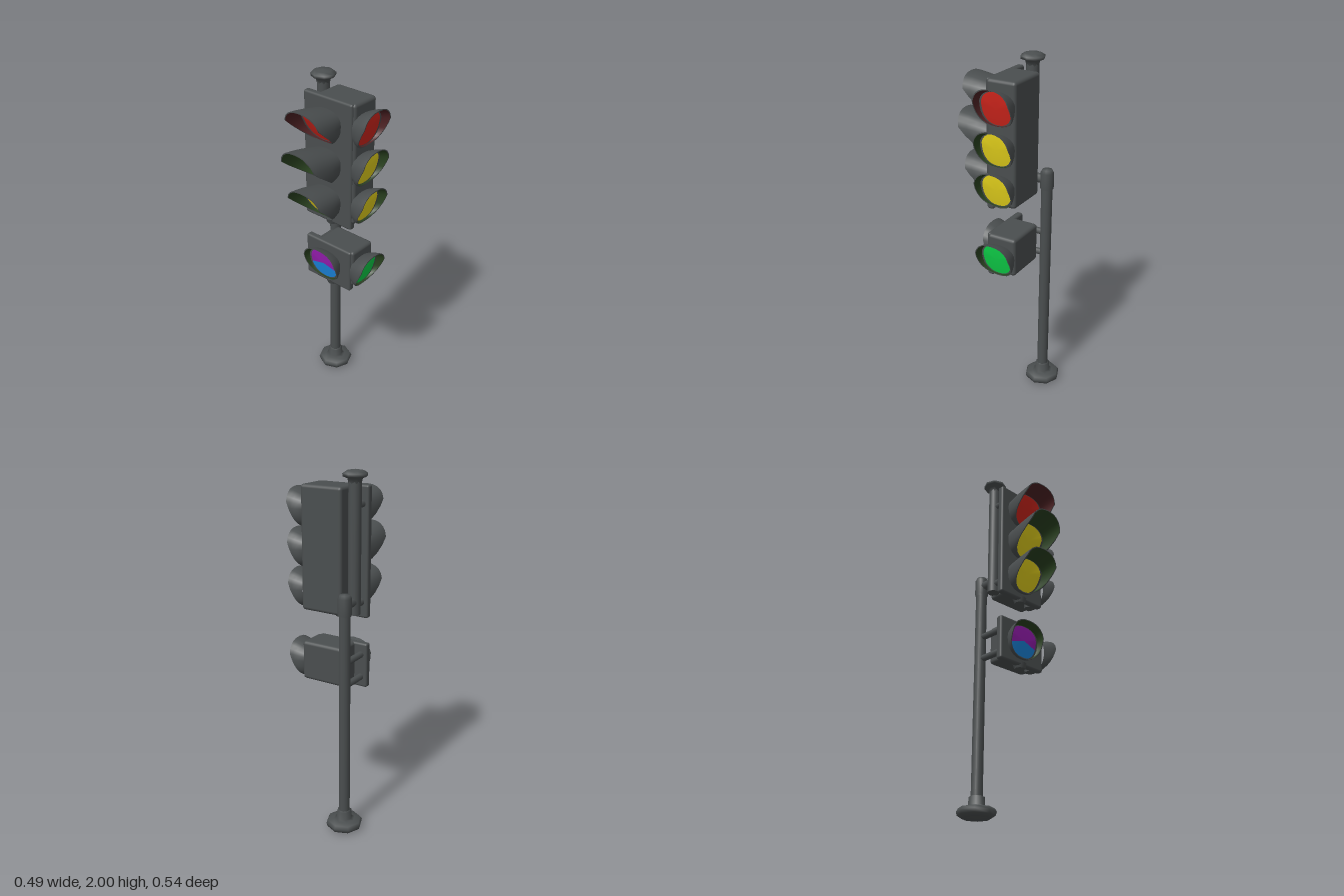
import * as THREE from 'three';
import { mergeVertices } from 'three/addons/utils/BufferGeometryUtils.js';
import { RoundedBoxGeometry } from 'three/addons/geometries/RoundedBoxGeometry.js';

const mat = (name, color, extra = {}) => new THREE.MeshStandardMaterial({ name, color, ...extra });

export function createModel() {
  const model = new THREE.Group();
  model.name = 'trafficLight';
  const grey = mat('dark grey', 0x4a4e4f);
  const red = mat('red lens', 0xd0251c);
  const yellow = mat('yellow lens', 0xe6d31c);
  const green = mat('green lens', 0x0ed048);
  const purple = mat('purple lens', 0x921cab);
  const blue = mat('blue lens', 0x1b86de);
  const greenLining = mat('dark green lining', 0x2a4220);
  const redLining = mat('dark red lining', 0x4e2224);

  const add = (name, geo, material, x = 0, y = 0, z = 0, parent = model) => {
    const m = new THREE.Mesh(geo, material);
    m.name = name;
    m.position.set(x, y, z);
    parent.add(m);
    return m;
  };
  const lathe = (pts, sides) => new THREE.LatheGeometry(pts.map(p => new THREE.Vector2(...p)), sides);
  // Rounded box given by its limits on each axis
  const box = (name, [x0, x1], [y0, y1], [z0, z1], r = 0.012) =>
    add(name, new RoundedBoxGeometry(x1 - x0, y1 - y0, z1 - z0, 2, r), grey,
      (x0 + x1) / 2, (y0 + y1) / 2, (z0 + z1) / 2);
  // Straight round bar between two points
  const bar = (name, a, b, r) => {
    const p = new THREE.Vector3(...a), q = new THREE.Vector3(...b), d = q.clone().sub(p);
    const m = add(name, new THREE.CylinderGeometry(r, r, d.length(), 10), grey);
    m.position.copy(p).add(q).multiplyScalar(0.5);
    m.quaternion.setFromUnitVectors(new THREE.Vector3(0, 1, 0), d.normalize());
  };

  // Skin over a list of rings, each a function of the angle
  const skin = (rings, from = -Math.PI / 2, to = Math.PI * 1.5, n = 24) => {
    const pos = [], idx = [];
    rings.forEach((ring, i) => {
      for (let j = 0; j <= n; j++) {
        pos.push(...ring(from + (to - from) * j / n));
        if (i && j < n) {
          const c = i * (n + 1) + j, a = c - n - 1;
          idx.push(a, a + 1, c, a + 1, c + 1, c);
        }
      }
    });
    const g = new THREE.BufferGeometry();
    g.setAttribute('position', new THREE.Float32BufferAttribute(pos, 3));
    g.setIndex(idx);
    const merged = mergeVertices(g, 1e-5);
    merged.computeVertexNormals();
    return merged;
  };

  // Hooded lamp facing local +z: slanted visor, lining, bezel and lens
  function lamp(name, { length, width = 1, top = 0.105, lens, lining }) {
    const g = new THREE.Group();
    g.name = name;
    const ring = (t, sx = 1, sy = sx) => a => {
      const sq = v => Math.sign(v) * Math.abs(v) ** 0.85;
      const c = sq(Math.cos(a)), s = sq(Math.sin(a));
      const flare = Math.sin(t * Math.PI / 2), u = (s + 1) / 2;
      const reach = u < 0.65 ? u / 0.65 * 0.9 : 0.9 + (u - 0.65) / 0.35 * 0.1;
      const up = s > 0 ? 0.07 + (top - 0.07) * (0.4 * flare + 0.6 * t) : 0.105;
      return [(0.1 + 0.017 * flare) * width * sx * c, up * sy * s, (0.018 + (length - 0.018) * reach) * t];
    };
    const seat = 0.4, edge = ring(seat, 0.84, 0.92);
    const centre = () => [0, -0.003, 0.28 * length + 0.006];
    add('visor', skin([ring(-0.05), ring(0), ring(0.25), ring(0.5), ring(0.75), ring(1)]), grey, 0, 0, 0, g);
    add('visorRim', skin([ring(1), ring(1, 0.95)]), grey, 0, 0, 0, g);
    add('visorLining', skin([ring(1, 0.95), ring(0.7, 0.95), ring(seat, 0.95)]), lining, 0, 0, 0, g);
    add('bezel', skin([ring(seat, 0.95), edge]), grey, 0, 0, 0, g);
    if (lens.length === 1) add('lens', skin([edge, centre]), lens[0], 0, 0, 0, g);
    else {
      add('upperLens', skin([edge, centre], -0.25, Math.PI + 0.25), lens[0], 0, 0, 0, g);
      add('lowerLens', skin([edge, centre], Math.PI + 0.25, Math.PI * 2 - 0.25), lens[1], 0, 0, 0, g);
    }
    model.add(g);
    return g;
  }

  // Lamps on the front and on the left side
  [
    ['upper', 1.785, 0.19, [red], [red], redLining],
    ['middle', 1.57, 0.23, [yellow], [yellow], greenLining],
    ['lower', 1.35, 0.19, [yellow], [yellow], greenLining],
    ['crossing', 0.945, 0.07, [purple, blue], [green], greenLining],
  ].forEach(([name, y, length, front, side, lining], i) => {
    const top = i === 1 ? 0.12 : 0.105;
    lamp(name + 'FrontLamp', { length, top, lens: front, lining }).position.set(-0.03, y, 0.04);
    const s = lamp(name + 'SideLamp', { length: 0.09, width: 0.92, lens: side, lining });
    s.position.set(0.148, y, -0.045);
    s.rotation.y = Math.PI / 2;
  });

  // Housings: deep side head plus a shallow front head
  [['upper', 1.21, 1.915], ['crossing', 0.81, 1.065]].forEach(([name, y0, y1]) => {
    box(name + 'SideHousing', [-0.1, 0.15], [y0 + 0.035, y1], [-0.14, 0.03], 0.018);
    box(name + 'FrontHousing', [-0.178, 0.138], [y0, y1], [0, 0.04]);
    add(name + 'FrontKnob', new THREE.CylinderGeometry(0.04, 0.03, 0.03, 8), grey, -0.01, y0 + 0.003, 0.01);
    add(name + 'SideKnob', new THREE.CylinderGeometry(0.03, 0.025, 0.05, 8), grey, 0.09, y0 + 0.03, -0.02);
  });

  // Main pole with domed top
  add('pole', lathe([[0.031, 0.05], [0.031, 1.26], [0.037, 1.27], [0.037, 1.36], [0.028, 1.378], [0, 1.383]], 14),
    grey, -0.143, 0, -0.168);
  // Eight-sided foot, hollow underneath
  add('foot', lathe([[0, 0.035], [0.06, 0.02], [0.075, 0], [0.098, 0.015], [0.104, 0.035], [0.094, 0.052],
    [0.06, 0.058], [0.044, 0.065], [0.041, 0.11], [0.03, 0.115]], 8), grey, -0.143, 0, -0.168);

  // Upper pipe behind the front head, with a flared cap
  add('upperPipe', new THREE.CylinderGeometry(0.034, 0.034, 0.71, 12), grey, -0.14, 1.605, -0.07);
  add('pipeCap', lathe([[0.034, 1.93], [0.04, 1.955], [0.064, 1.965], [0.066, 1.98], [0.045, 1.993], [0, 2]], 8),
    grey, -0.14, 0, -0.07);

  // Brackets joining pole, pipe and heads
  bar('poleBracket', [-0.143, 1.32, -0.168], [-0.14, 1.32, -0.07], 0.026);
  [1.3, 1.82].forEach(y => bar('pipeBracket', [-0.14, y, -0.07], [-0.14, y, 0.01], 0.02));
  [0.87, 1.0].forEach(y => bar('crossingBracket', [-0.143, y, -0.168], [-0.14, y, 0.01], 0.018));

  return model;
}
